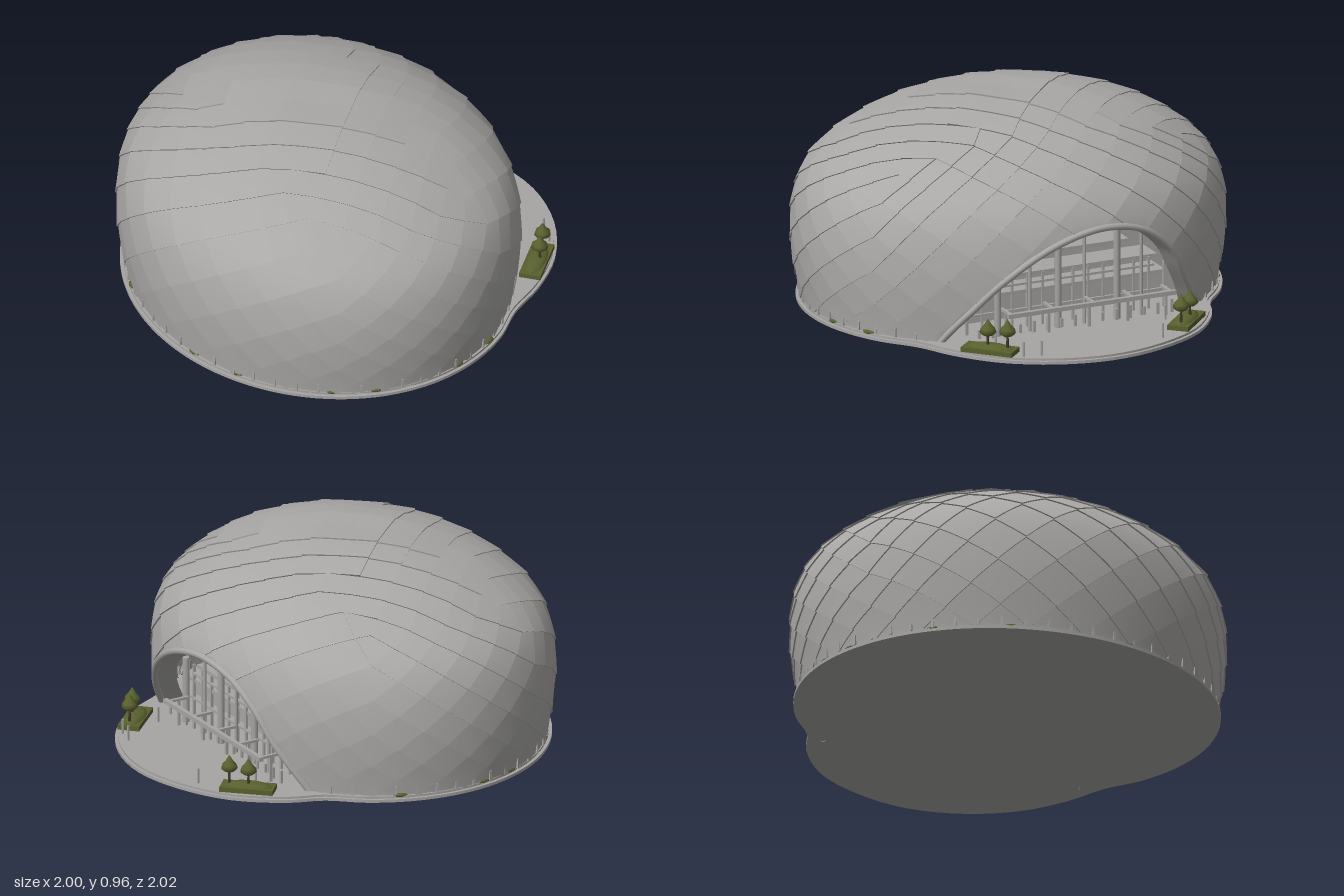
import * as THREE from 'three';
import { mergeVertices } from 'three/addons/utils/BufferGeometryUtils.js';

const CX = -0.13, RX = 0.87, ROWS = 10, COLS = 48;
const lerp = THREE.MathUtils.lerp;

// Dome profile as (radius, height), from the crown to the ground
const profile = new THREE.SplineCurve([[0, 0.95], [0.2, 0.943], [0.4, 0.905], [0.6, 0.84], [0.75, 0.765],
  [0.9, 0.65], [0.97, 0.53], [0.995, 0.37], [0.985, 0.2], [0.95, 0.02]].map(p => new THREE.Vector2(...p)));
const rings = profile.getSpacedPoints(120);

// Entrance arch as (z, y)
const arch = new THREE.SplineCurve([[0.63, 0], [0.6, 0.06], [0.53, 0.16], [0.4, 0.31], [0.22, 0.44], [0.03, 0.51],
  [-0.14, 0.52], [-0.3, 0.475], [-0.43, 0.37], [-0.51, 0.24], [-0.58, 0.12], [-0.64, 0]]
  .map(p => new THREE.Vector2(...p))).getSpacedPoints(60);

// Linear look-up in a list of points ordered along one key
function lookUp(list, key, value, at) {
  for (let i = 1; i < list.length; i++) {
    const a = key(list[i - 1]), b = key(list[i]);
    if ((value - a) * (value - b) <= 0 && a !== b) return lerp(at(list[i - 1]), at(list[i]), (value - a) / (b - a));
  }
  return at(list[list.length - 1]);
}
const archRadius = t => lookUp(arch, p => Math.atan2(p.y, p.x), t, p => p.length());
const archHeight = z => lookUp(arch, p => p.x, z, p => p.y);
const domeRadius = y => lookUp(rings, p => p.y, y, p => p.x);
const domeX = (y, z) => CX + RX * Math.sqrt(Math.max(0, domeRadius(y) ** 2 - z * z));

// The unrolled dome is a unit disc: the distance from its middle is the length along the profile
function domePoint(q) {
  const p = profile.getPointAt(Math.min(1, q.length())), az = Math.atan2(q.y, q.x);
  return new THREE.Vector3(CX + RX * p.x * Math.cos(az), p.y, p.x * Math.sin(az));
}

// Lattice on the disc: an 8 by 16 field over the crown, and rings that run down from its border
function field(i, j) {
  const u = i / 4, v = j / 8;
  return new THREE.Vector2(0.25 * u * (1.25 - 0.25 * v * v), 0.45 * v * (1.12 - 0.12 * u * u));
}
function ring(col, row) {
  const k = (col + COLS) % COLS, step = Math.min(row, 0);
  let border;
  if (k <= 8 || k >= 40) border = field(4 + step, k <= 8 ? k : k - COLS);
  else if (k <= 16) border = field(12 - k, 8 + step);
  else if (k <= 32) border = field(-4 - step, 24 - k);
  else border = field(k - 36, -8 - step);
  const a = k / COLS * Math.PI * 2;
  return border.lerp(new THREE.Vector2(Math.cos(a), Math.sin(a)), Math.max(row, 0) / ROWS);
}
function diamonds() {
  const list = [];
  for (let i = -3; i <= 3; i++) for (let j = -7; j <= 7; j++) if ((i + j) % 2) {
    const c = [field(i - 1, j), field(i, j + 1), field(i + 1, j), field(i, j - 1)];
    const top = c.reduce((best, p, n) => p.length() < c[best].length() ? n : best, 0);
    list.push([...c.slice(top), ...c.slice(0, top)]);
  }
  for (let r = 0; r <= ROWS; r++) for (let k = 0; k < COLS; k++)
    if ((k + r) % 2) list.push([ring(k, r - 1), ring(k + 1, r), ring(k, r + 1), ring(k - 1, r)]);
  return list;
}

// All diamond panels, each tilted a little like a shingle, with the arch cut out
function panelGeometry() {
  const pos = [], index = [], inside = [], n = 6, centre = new THREE.Vector3(CX, 0.25, 0);
  const push = v => {
    const t = Math.atan2(v.y, v.z), d = Math.hypot(v.y, v.z), hole = v.x > 0.2 && v.y > 0 && d < archRadius(t) - 1e-5;
    if (hole) {
      const k = archRadius(t) / d;
      v.y *= k; v.z *= k;
      v.x = domeX(v.y, v.z);
    }
    inside.push(hole);
    pos.push(v.x, v.y, v.z);
    return inside.length - 1;
  };
  const tri = (...t) => { if (!t.every(i => inside[i])) index.push(...t); };
  const quad = (a, b, c, d) => { tri(a, b, c); tri(a, c, d); };
  const blend = (c, a, b) => c[0].clone().lerp(c[1], a).lerp(c[3].clone().lerp(c[2], a), b);
  for (const c of diamonds()) {
    const corners = c.map(domePoint);
    const flat = c[2].length() > 1.001 ? 0 : 0.6;
    const point = (a, b, drop = 0) => {
      const v = domePoint(blend(c, a, b)).lerp(blend(corners, a, b), flat);
      return v.addScaledVector(v.clone().sub(centre).normalize(), 0.007 * (a + b) - 0.002 - drop);
    };
    const grid = [];
    for (let a = 0; a <= n; a++) for (let b = 0; b <= n; b++) grid.push(push(point(a / n, b / n)));
    const g = (a, b) => grid[a * (n + 1) + b];
    for (let a = 0; a < n; a++) for (let b = 0; b < n; b++) quad(g(a, b), g(a + 1, b), g(a + 1, b + 1), g(a, b + 1));
    // Lips along the two lower edges
    for (let k = 0; k < n; k++) {
      const e = k / n, f = (k + 1) / n;
      quad(push(point(1, e)), push(point(1, e, 0.014)), push(point(1, f, 0.014)), push(point(1, f)));
      quad(push(point(f, 1)), push(point(f, 1, 0.014)), push(point(e, 1, 0.014)), push(point(e, 1)));
    }
  }
  const geo = new THREE.BufferGeometry();
  geo.setAttribute('position', new THREE.Float32BufferAttribute(pos, 3));
  geo.setIndex(index);
  geo.computeVertexNormals();
  return geo;
}

export function createModel() {
  const model = new THREE.Group();
  const material = (name, color, extra) => Object.assign(new THREE.MeshStandardMaterial({ color }), { name }, extra);
  const shell = material('shell grey', 0xa9a8a6, { side: THREE.DoubleSide });
  const stone = material('stone grey', 0xa6a5a3);
  const leaf = material('olive green', 0x59602e);
  const bark = material('bark brown', 0x44392a);
  const add = (name, geo, mat, x = 0, y = 0, z = 0, parent = model) => {
    const mesh = new THREE.Mesh(geo, mat);
    mesh.name = name;
    mesh.position.set(x, y, z);
    parent.add(mesh);
    return mesh;
  };
  const box = (name, w, h, d, x, y, z) => add(name, new THREE.BoxGeometry(w, h, d), stone, x, y, z);

  add('domePanels', panelGeometry(), shell);

  // Rim and deep reveal of the entrance
  const edge = arch.map(p => new THREE.Vector3(domeX(p.y, p.x), p.y + 0.003, p.x));
  add('archRim', new THREE.TubeGeometry(new THREE.CatmullRomCurve3(edge), 90, 0.016, 8), shell);
  const strip = [], faces = [];
  edge.forEach((p, i) => {
    strip.push(p.x, p.y, p.z, p.x - 0.1, p.y * 0.95, p.z * 0.95);
    if (i) faces.push(2 * i - 2, 2 * i - 1, 2 * i + 1, 2 * i - 2, 2 * i + 1, 2 * i);
  });
  const reveal = new THREE.BufferGeometry();
  reveal.setAttribute('position', new THREE.Float32BufferAttribute(strip, 3));
  reveal.setIndex(faces);
  reveal.computeVertexNormals();
  add('archReveal', reveal, shell);

  // Inner wall with floors, columns and mullions
  const wall = new THREE.ShapeGeometry(new THREE.Shape(arch.map(p => new THREE.Vector2(-p.x * 1.05, p.y * 1.05))));
  add('innerWall', wall.rotateY(Math.PI / 2), shell, 0.32, 0.01, 0);
  [[0.19, 0.47, -0.5], [0.27, 0.38, -0.46], [0.36, 0.2, -0.32]].forEach(([y, a, b]) =>
    box('floorSlab', 0.14, 0.016, a - b, 0.39, y, (a + b) / 2));
  [0.36, 0.2, 0.06, -0.07, -0.23, -0.35].forEach((z, i) => {
    const h = archHeight(z) - 0.02, r = i % 2 ? 0.008 : 0.016;
    add('column', new THREE.CylinderGeometry(r, r, h, 10), stone, 0.53, h / 2 + 0.01, z);
  });
  for (let z = 0.48; z > -0.52; z -= 0.075) {
    const h = Math.min(archHeight(z) - 0.04, 0.26);
    box('mullion', 0.012, h, 0.01, 0.46, h / 2 + 0.01, z);
  }
  [0.11, 0.23].forEach(y => box('transom', 0.012, 0.01, 1.1 - y * 1.1, 0.465, y, -0.02));
  box('canopyBeam', 0.02, 0.02, 0.83, 0.64, 0.148, -0.055);
  [0.34, 0.13, -0.07, -0.26, -0.45].forEach(z => {
    box('canopyArm', 0.12, 0.012, 0.014, 0.59, 0.148, z);
    box('canopyPost', 0.012, 0.13, 0.012, 0.58, 0.085, z);
  });
  for (let i = 0; i < 15; i++) box('railPost', 0.01, 0.04 + (i % 3) * 0.015, 0.012, 0.55, 0.05, 0.46 - i * 0.068);

  // Ground slab in two steps, with the plaza bulging out at the entrance
  const outline = [];
  for (let a = 48; a <= 312; a += 12) {
    const t = a * Math.PI / 180;
    outline.push(new THREE.Vector3(-0.12 + 0.87 * Math.cos(t), 0.975 * Math.sin(t), 0));
  }
  [[0.62, -0.66], [0.82, -0.5], [0.95, -0.26], [1, 0], [0.95, 0.26], [0.82, 0.48], [0.64, 0.63]]
    .forEach(p => outline.push(new THREE.Vector3(...p, 0)));
  const smooth = new THREE.CatmullRomCurve3(outline, true).getPoints(120).slice(0, 120);
  [[1, 0.014, 0.014], [0.985, 0.01, 0.024]].forEach(([k, depth, top]) => {
    const shape = new THREE.Shape(smooth.map(p => new THREE.Vector2(p.x * k, p.y * k)));
    const geo = new THREE.ExtrudeGeometry(shape, { depth, bevelEnabled: false });
    add('groundSlab', geo.rotateX(Math.PI / 2), stone, 0, top, 0);
  });

  // Feet and small plants around the foot of the dome
  for (let i = 0; i < 56; i++) {
    const t = (i + 0.5) / 56 * Math.PI * 2;
    if (Math.cos(t) > 0.7) continue;
    const foot = box('domeFoot', 0.012, 0.045, 0.01, CX + 0.96 * RX * Math.cos(t), 0.045, 0.96 * Math.sin(t));
    foot.rotation.y = -t;
  }
  [65, 80, 108, 121, 150, 165, 200, 222, 250, 262, 290].forEach(a => {
    const t = a * Math.PI / 180;
    const plant = add('lowPlant', new THREE.SphereGeometry(1, 8, 5), leaf, -0.12 + 0.84 * Math.cos(t), 0.024, 0.95 * Math.sin(t));
    plant.scale.set(0.016, 0.01, 0.035);
    plant.rotation.y = -t;
  });

  // Planting beds with two trees each
  const crown = mergeVertices(new THREE.LatheGeometry([[0, 0], [0.022, 0.003], [0.038, 0.016], [0.033, 0.034],
    [0.018, 0.05], [0.01, 0.064], [0, 0.08]].map(p => new THREE.Vector2(...p)), 9));
  const trunk = new THREE.CylinderGeometry(0.005, 0.007, 0.07, 6);
  [1, -1].forEach(side => {
    const bed = new THREE.Group();
    bed.name = 'plantingBed';
    bed.position.set(0.72, 0.024, side * 0.485);
    bed.rotation.y = side * 0.76;
    model.add(bed);
    add('shrubs', new THREE.BoxGeometry(0.245, 0.022, 0.1), leaf, 0, 0.011, 0, bed);
    add('shrubMound', new THREE.SphereGeometry(1, 12, 8), leaf, 0, 0.016, 0, bed).scale.set(0.115, 0.026, 0.048);
    [[-0.005, 0.016], [0.085, 0.004]].forEach(([x, z], i) => {
      add('treeTrunk', trunk, bark, x, 0.055, side * z, bed);
      add('treeCrown', crown, leaf, x, 0.08 + i * 0.004, side * z, bed);
    });
  });

  // Bollards at the plaza edge
  [[0.87, 0.3], [0.87, -0.3], [0.85, 0.38], [0.64, 0.42], [0.64, -0.42]].forEach(([x, z]) =>
    box('bollard', 0.008, 0.07, 0.008, x, 0.06, z));
  return model;
}
